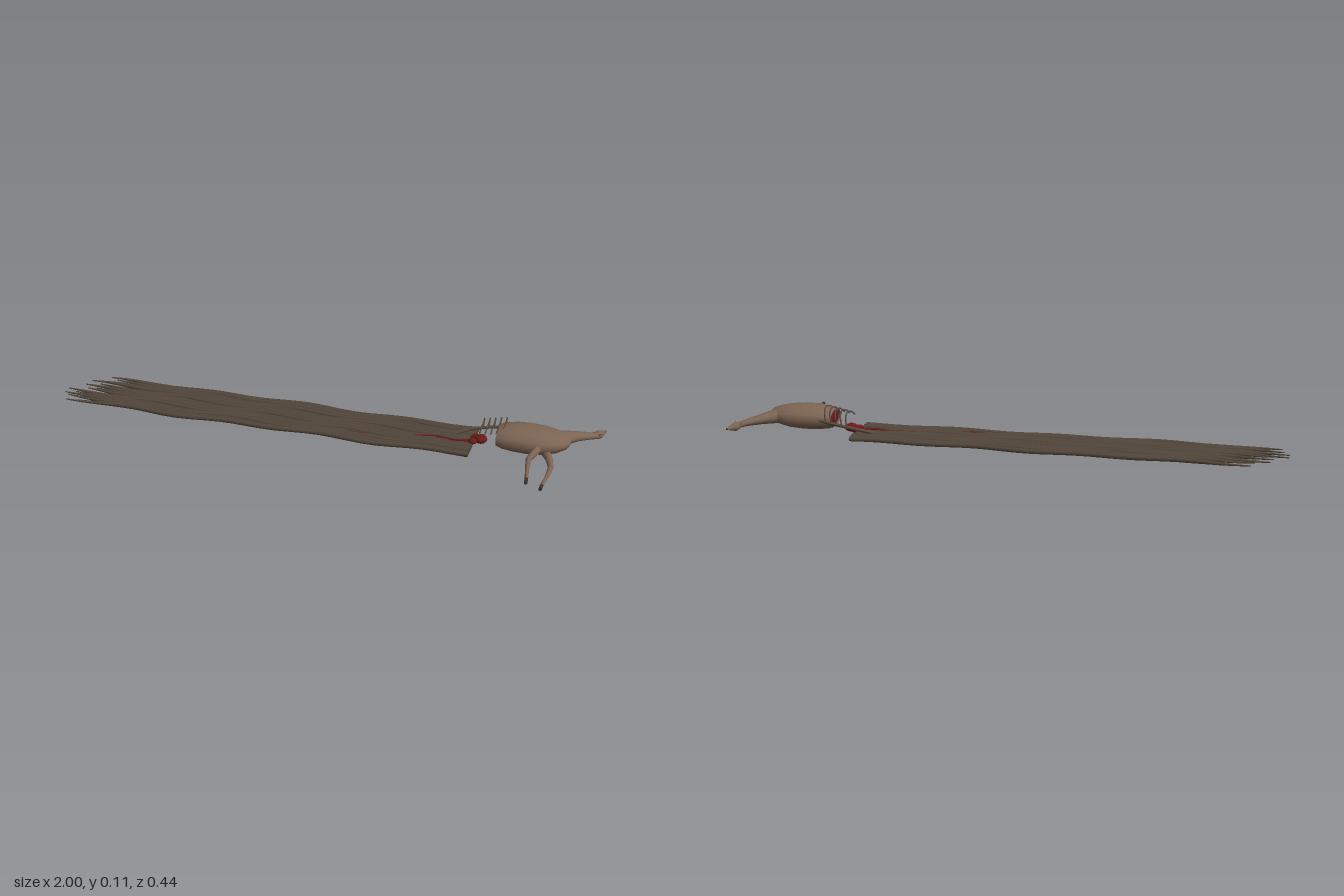
import * as THREE from 'three';

const mat = (name, color, side = THREE.FrontSide) => {
  const m = new THREE.MeshStandardMaterial({ color, side });
  m.name = name;
  return m;
};

// Skin elliptical cross-sections [x, y, z, halfWidth, halfHeight] along a path
function loft(sections, sides, startCap = true) {
  const pos = [], idx = [], up = new THREE.Vector3(0, 1, 0);
  const pts = sections.map(s => new THREE.Vector3(s[0], s[1], s[2]));
  const n = sections.length;
  sections.forEach((s, i) => {
    const t = pts[Math.min(i + 1, n - 1)].clone().sub(pts[Math.max(i - 1, 0)]);
    const h = new THREE.Vector3().crossVectors(up, t).normalize();
    for (let j = 0; j < sides; j++) {
      const a = j / sides * Math.PI * 2;
      const p = pts[i].clone().addScaledVector(h, Math.cos(a) * s[3]);
      pos.push(p.x, p.y + Math.sin(a) * s[4], p.z);
    }
  });
  for (let i = 0; i < n - 1; i++) for (let j = 0; j < sides; j++) {
    const a = i * sides + j, b = i * sides + (j + 1) % sides;
    idx.push(a, b, a + sides, b, b + sides, a + sides);
  }
  const cap = (i, flip) => {
    const base = pos.length / 3;
    for (let j = 0; j < sides; j++) {
      const k = (i * sides + j) * 3;
      pos.push(pos[k], pos[k + 1], pos[k + 2]);
    }
    for (let j = 1; j < sides - 1; j++) {
      if (flip) idx.push(base, base + j + 1, base + j);
      else idx.push(base, base + j, base + j + 1);
    }
  };
  if (startCap) cap(0, true);
  cap(n - 1, false);
  const g = new THREE.BufferGeometry();
  g.setAttribute('position', new THREE.Float32BufferAttribute(pos, 3));
  g.setIndex(idx);
  g.computeVertexNormals();
  return g;
}

export function createModel() {
  const model = new THREE.Group();
  const hide = mat('hide brown', 0x7d6554, THREE.DoubleSide);
  const strandMat = mat('strand brown', 0x51463a);
  const hoofMat = mat('hoof dark', 0x3b322b);
  const bone = mat('dry bone', 0x5c4c40);
  const flesh = mat('dark red flesh', 0x6a1a1a);

  const add = (name, geo, material, parent = model) => {
    const m = new THREE.Mesh(geo, material);
    m.name = name;
    parent.add(m);
    return m;
  };
  const tube = (points, r, seg = 10, sides = 6) => new THREE.TubeGeometry(
    new THREE.CatmullRomCurve3(points.map(p => new THREE.Vector3(...p))), seg, r, sides);

  // Torso, cut open at the rear
  add('torso', loft([
    [0.638, 0.056, -0.048, 0.056, 0.032],
    [0.66, 0.057, -0.048, 0.066, 0.040],
    [0.70, 0.058, -0.049, 0.073, 0.046],
    [0.75, 0.058, -0.050, 0.077, 0.047],
    [0.80, 0.058, -0.052, 0.076, 0.042],
    [0.84, 0.059, -0.056, 0.064, 0.034],
    [0.868, 0.059, -0.064, 0.045, 0.025],
    [0.885, 0.058, -0.072, 0.018, 0.011]
  ], 14, false), hide);
  const wound = add('woundFlesh', new THREE.SphereGeometry(1, 12, 8), flesh);
  wound.position.set(0.65, 0.056, -0.048);
  wound.scale.set(0.012, 0.034, 0.057);

  // Neck and head
  add('neck', loft([
    [0.815, 0.060, -0.055, 0.040, 0.030],
    [0.86, 0.058, -0.088, 0.034, 0.025],
    [0.90, 0.053, -0.122, 0.024, 0.018],
    [0.94, 0.046, -0.150, 0.018, 0.013],
    [0.965, 0.040, -0.168, 0.015, 0.010]
  ], 10), hide);
  add('head', loft([
    [0.960, 0.039, -0.162, 0.009, 0.008],
    [0.968, 0.038, -0.176, 0.015, 0.014],
    [0.974, 0.037, -0.188, 0.015, 0.016],
    [0.983, 0.036, -0.202, 0.009, 0.009],
    [0.991, 0.035, -0.217, 0.004, 0.004]
  ], 10), hide);
  const nose = add('nose', new THREE.SphereGeometry(0.004, 8, 6), hoofMat);
  nose.position.set(0.992, 0.035, -0.218);
  for (const s of [-1, 1]) {
    const ear = add('ear', new THREE.ConeGeometry(0.005, 0.018, 6), hide);
    ear.position.set(0.967 + s * 0.012, 0.048, -0.172 + s * 0.006);
    ear.rotation.set(0.5, 0, -s * 0.6);
  }

  // Two forelegs stretched sideways, each ending in a hoof
  const legs = [
    { x: [0.80, 0.785, 0.768, 0.774, 0.781, 0.783], y: [0.058, 0.056, 0.051, 0.044, 0.038, 0.036] },
    { x: [0.805, 0.828, 0.846, 0.842, 0.834, 0.833], y: [0.038, 0.036, 0.032, 0.026, 0.022, 0.020] }
  ];
  const legZ = [-0.02, 0.025, 0.085, 0.145, 0.195, 0.221];
  const legR = [0.018, 0.014, 0.010, 0.007, 0.006, 0.006];
  legs.forEach(l => {
    const s = legZ.map((z, i) => [l.x[i], l.y[i], z, legR[i], legR[i]]);
    add('foreleg', loft(s.slice(0, 5), 8), hide);
    add('hoof', loft(s.slice(4), 8), hoofMat);
  });

  // Exposed backbone and arching ribs
  add('backbone', tube([[0.48, 0.018, -0.085], [0.54, 0.034, -0.108],
    [0.60, 0.046, -0.114], [0.68, 0.060, -0.112]], 0.006, 16), bone);
  for (let i = 0; i < 5; i++) {
    const x = 0.572 + i * 0.02, y = 0.042 + i * 0.004;
    add('rib', tube([[x, y, -0.114], [x + 0.003, y + 0.032, -0.116],
      [x + 0.008, y + 0.046, -0.085], [x + 0.008, y + 0.042, -0.045],
      [x + 0.004, y + 0.022, -0.012]], 0.0027, 14, 5), bone);
  }

  // Spilled entrails
  const clots = [[0.575, 0.026, -0.055, 0.024], [0.555, 0.022, -0.07, 0.017], [0.55, 0.022, -0.04, 0.017]];
  clots.forEach(([x, y, z, r]) => {
    const c = add('clot', new THREE.SphereGeometry(r, 10, 8), flesh);
    c.position.set(x, y, z);
    c.scale.y = 0.65;
  });
  add('entrail', tube([[0.56, 0.02, -0.05], [0.48, 0.018, -0.035],
    [0.42, 0.017, -0.045], [0.34, 0.014, -0.03]], 0.005, 20), flesh);
  add('bloodStreak', tube([[0.17, 0.012, 0.006], [0.12, 0.014, 0.012], [0.06, 0.011, 0.008]], 0.0075, 10), flesh);

  // Long bundle of wavy, tapering strands
  const bundle = new THREE.Group();
  bundle.name = 'strandBundle';
  model.add(bundle);
  const tips = [-0.88, -0.85, -0.89, -0.94, -0.9, -0.95, -0.9, -0.93, -1, -0.96, -1, -0.98, -0.93, -0.97];
  tips.forEach((tip, k) => {
    const z0 = -0.147 + k * 0.0145, s = [];
    for (let i = 0; i <= 28; i++) {
      const t = i / 28, x = 0.55 + (tip - 0.55) * t;
      const wave = 0.007 * Math.sin(x * 17 + k * 0.35) + 0.004 * Math.sin(x * 9 + k * 1.9);
      const taper = t < 0.86 ? 1 : 1 - 0.8 * (t - 0.86) / 0.14;
      const y = 0.0105 + (k % 2 ? 0.0015 : -0.001);
      s.push([x, y, z0 + wave + t * 0.0014 * k, 0.0115 * taper, 0.009 * taper]);
    }
    add('strand', loft(s, 8), strandMat, bundle);
  });
  return model;
}
